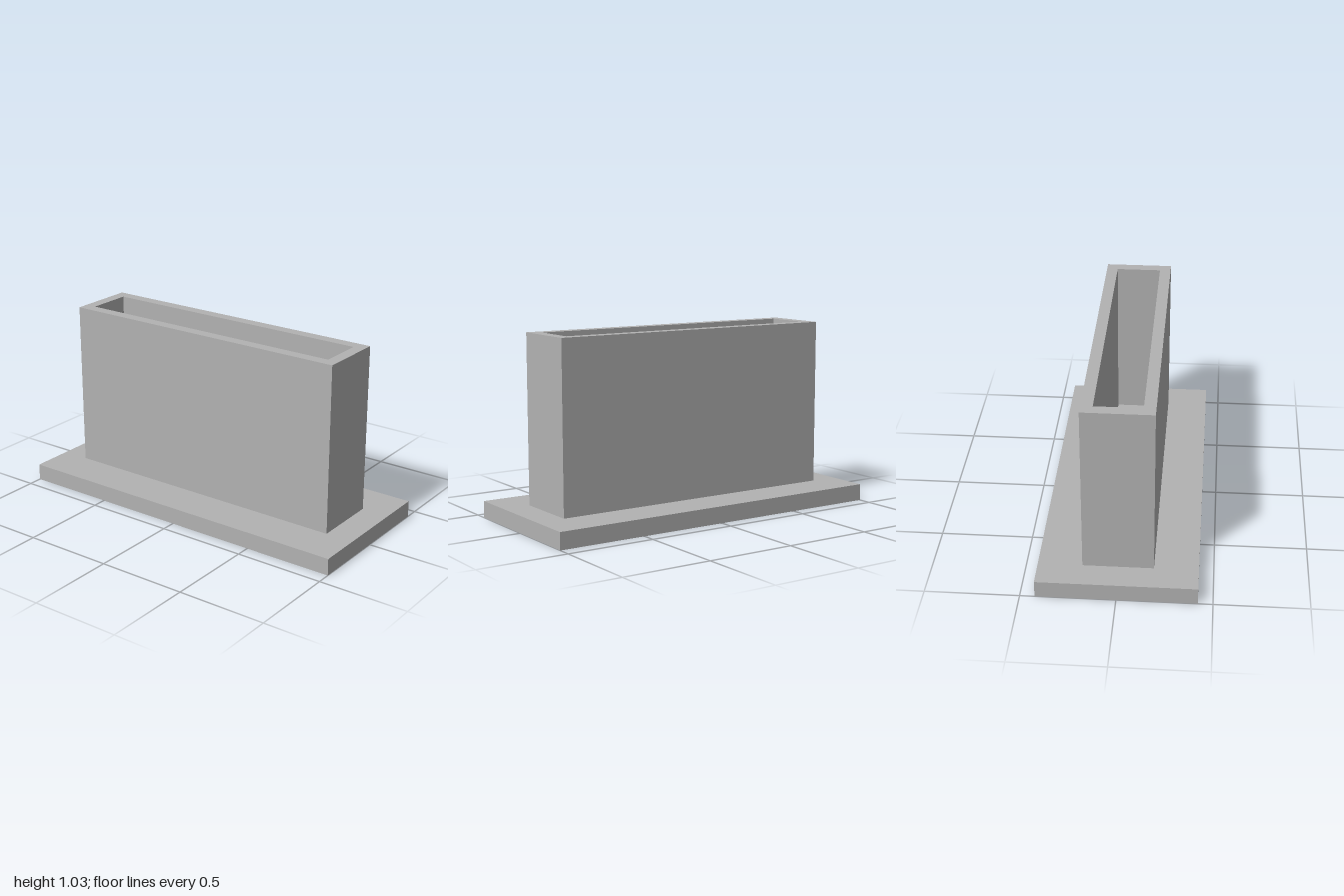
import * as THREE from 'three';

// Rectangle outline centred on the origin
function rectangle(Type, halfW, halfD) {
  const path = new Type();
  path.moveTo(-halfW, -halfD);
  path.lineTo(halfW, -halfD);
  path.lineTo(halfW, halfD);
  path.lineTo(-halfW, halfD);
  path.closePath();
  return path;
}

export function createModel() {
  const group = new THREE.Group();
  group.name = 'slottedHolder';
  const grey = new THREE.MeshStandardMaterial({ color: 0xb2b2b2 });
  grey.name = 'grey';

  const baseHeight = 0.094;
  const totalHeight = 1.031;

  // Flat base plate, which also closes the bottom of the sleeve
  const base = new THREE.Mesh(new THREE.BoxGeometry(2, baseHeight, 0.844), grey);
  base.name = 'basePlate';
  base.position.y = baseHeight / 2;
  group.add(base);

  // Upright rectangular sleeve, open at the top
  const outline = rectangle(THREE.Shape, 0.844, 0.1875);
  outline.holes.push(rectangle(THREE.Path, 0.781, 0.125));
  const sleeveGeometry = new THREE.ExtrudeGeometry(outline, {
    depth: totalHeight - baseHeight,
    bevelEnabled: false,
  });
  sleeveGeometry.rotateX(-Math.PI / 2);
  const sleeve = new THREE.Mesh(sleeveGeometry, grey);
  sleeve.name = 'sleeve';
  sleeve.position.y = baseHeight;
  group.add(sleeve);

  return group;
}
